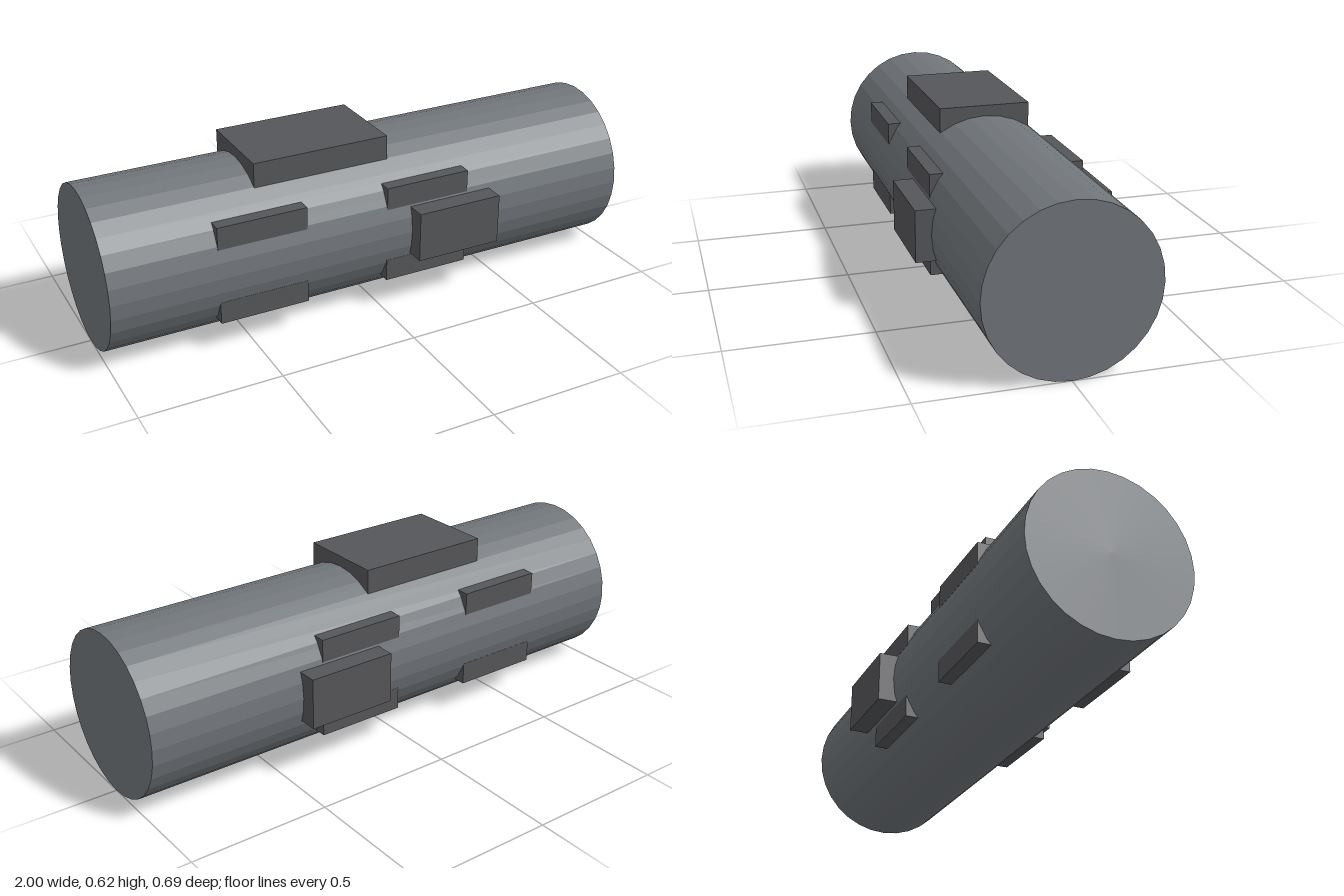
import * as THREE from 'three';

export function createModel() {
  const group = new THREE.Group();
  const bodyMat = new THREE.MeshStandardMaterial({ color: 0x70757a, flatShading: true });
  const blockMat = new THREE.MeshStandardMaterial({ color: 0x555659, flatShading: true });
  const radius = 0.291;

  // Main tube lying along x
  const body = new THREE.Mesh(new THREE.CylinderGeometry(radius, radius, 2, 32), bodyMat);
  body.name = 'body';
  body.rotation.z = Math.PI / 2;
  body.position.y = radius;
  group.add(body);

  // Block given by its min and max corners
  function block(name, [x0, y0, z0], [x1, y1, z1]) {
    const mesh = new THREE.Mesh(new THREE.BoxGeometry(x1 - x0, y1 - y0, z1 - z0), blockMat);
    mesh.name = name;
    mesh.position.set((x0 + x1) / 2, (y0 + y1) / 2, (z0 + z1) / 2);
    group.add(mesh);
    return mesh;
  }

  // Wide block on top
  block('topBlock', [-0.438, 0.531, -0.164], [0.07, 0.62, 0.164]);

  // Side blocks and thin rails, mirrored front to back
  for (const side of [1, -1]) {
    const face = side > 0 ? 'front' : 'back';
    const parts = [block(face + 'SideBlock', [0.107, 0.2, 0.272], [0.433, 0.384, 0.346])];
    for (const x of [-0.62, 0.015]) {
      parts.push(block(face + 'UpperRail', [x, 0.391, 0.225], [x + 0.326, 0.473, 0.273]));
      parts.push(block(face + 'LowerRail', [x, 0.11, 0.225], [x + 0.326, 0.191, 0.273]));
    }
    parts.forEach((p) => { p.position.z *= side; });
  }

  return group;
}
